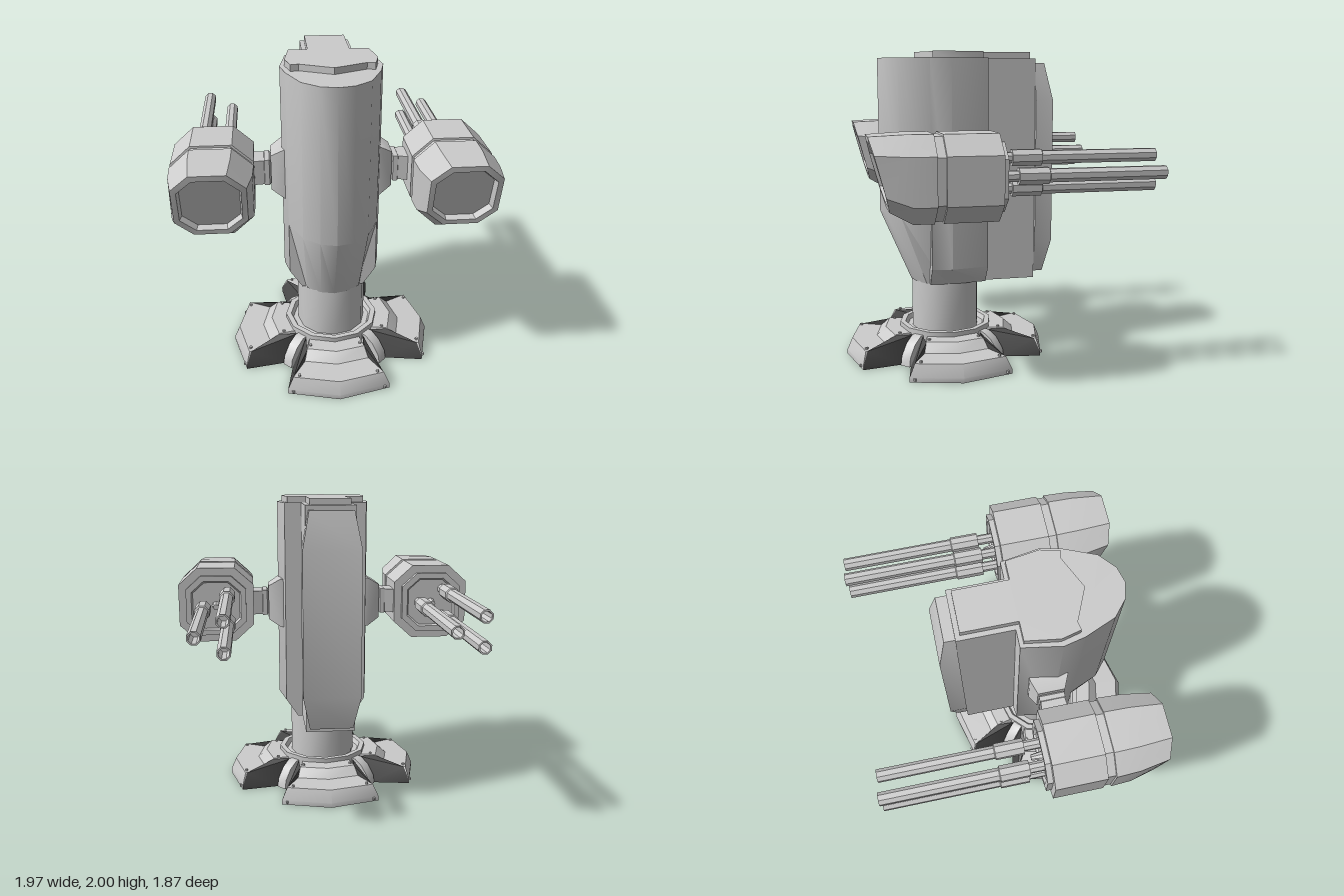
import * as THREE from 'three';
import { toCreasedNormals } from 'three/addons/utils/BufferGeometryUtils.js';
import { ConvexGeometry } from 'three/addons/geometries/ConvexGeometry.js';

const grey = new THREE.MeshStandardMaterial({ color: 0xcccccc });
const dark = new THREE.MeshStandardMaterial({ color: 0x4a4a4a });
const CZ = 0.26; // z of the column axis

function add(parent, name, geometry, material = grey) {
  const mesh = new THREE.Mesh(toCreasedNormals(geometry, 0.6), material);
  mesh.name = name;
  parent.add(mesh);
  return mesh;
}

// Solid skin over loops of [x, y, z] points, capped at both ends
function loft(loops) {
  const n = loops[0].length, tris = [];
  const mid = (l) => [0, 1, 2].map((k) => l.reduce((s, p) => s + p[k], 0) / n);
  const first = loops[0], last = loops[loops.length - 1], c0 = mid(first), c1 = mid(last);
  for (let i = 0; i < n; i++) {
    const j = (i + 1) % n;
    for (let k = 0; k + 1 < loops.length; k++) {
      const a = loops[k], b = loops[k + 1];
      tris.push([a[i], a[j], b[j]], [a[i], b[j], b[i]]);
    }
    tris.push([c0, first[j], first[i]], [c1, last[i], last[j]]);
  }
  // A negative volume means the skin is inside out
  const vol = tris.reduce((s, [a, b, c]) => s
    + a[0] * (b[1] * c[2] - b[2] * c[1])
    + a[1] * (b[2] * c[0] - b[0] * c[2])
    + a[2] * (b[0] * c[1] - b[1] * c[0]), 0);
  if (vol < 0) tris.forEach((t) => t.reverse());
  const g = new THREE.BufferGeometry();
  g.setAttribute('position', new THREE.Float32BufferAttribute(tris.flat(2), 3));
  return g;
}

// Mirrored horizontal section from half-outline points [x, z]
function section(y, half) {
  const other = half.filter((p) => p[0] > 0).reverse().map(([x, z]) => [-x, z]);
  return [...half, ...other].map(([x, z]) => [x, y, z]);
}

function polar(r, deg, y) {
  const a = THREE.MathUtils.degToRad(deg);
  return [r * Math.sin(a), y, r * Math.cos(a)];
}
const hull = (pts) => new ConvexGeometry(pts.map((p) => new THREE.Vector3(...p)));

function buildBase(root) {
  const base = new THREE.Group();
  base.name = 'base';
  base.position.z = CZ;
  root.add(base);

  const ring = [[0, 0], [0.31, 0], [0.31, 0.2], [0.275, 0.2], [0.26, 0.17], [0, 0.17]];
  add(base, 'baseRing', new THREE.LatheGeometry(ring.map((p) => new THREE.Vector2(...p)), 12));
  add(base, 'neck', new THREE.CylinderGeometry(0.225, 0.225, 0.4, 12)).position.y = 0.36;

  // Foot profile: radius, height, half angle
  const profile = [[0.67, 0, 29], [0.67, 0.03, 29], [0.635, 0.11, 27], [0.47, 0.115, 26],
    [0.41, 0.17, 27], [0.25, 0.17, 37], [0.25, 0, 37]];
  const footLoops = [-1, 0, 1].map((t) => profile.map(([r, y, a]) => polar(r, a * t, y)));

  for (let q = 0; q < 4; q++) {
    const foot = new THREE.Group();
    foot.name = 'foot';
    foot.rotation.y = q * Math.PI / 2;
    base.add(foot);
    add(foot, 'footPlate', loft(footLoops));
    for (const s of [-1, 1]) {
      // Dark sloping side of the foot, beside the notch
      add(foot, 'footCheek', hull([[0.67, 29, 0], [0.668, 29, 0.03], [0.63, 27, 0.107], [0.46, 26, 0.112],
        [0.41, 27, 0.165], [0.31, 38, 0.165], [0.43, 41, 0], [0.31, 41, 0]]
        .map(([r, a, y]) => polar(r, a * s, y))), dark);
      for (const [r, a, y] of [[0.61, 24, 0.115], [0.665, 26, 0.02], [0.37, 26, 0.172]]) {
        const bolt = add(foot, 'bolt', new THREE.CylinderGeometry(0.01, 0.01, 0.016, 6));
        bolt.position.set(...polar(r, a * s, y));
      }
    }
    // Rib at the inner end of the notch
    const rib = add(foot, 'notchRib', loft([-0.035, 0.035].map((x) =>
      [[x, 0, 0.28], [x, 0, 0.45], [x, 0.06, 0.44], [x, 0.13, 0.39], [x, 0.17, 0.33], [x, 0.17, 0.28]])));
    rib.rotation.y = Math.PI / 4;
  }
}

function buildBody(root) {
  const body = new THREE.Group();
  body.name = 'body';
  root.add(body);

  const front = [[0.28, 0.3], [0.28, 0.39], [0.2, 0.58], [0.1, 0.665], [0, 0.69]];
  const frontLow = [[0.2, 0.25], [0.2, 0.3], [0.17, 0.41], [0.085, 0.47], [0, 0.49]];
  add(body, 'frontColumn', loft([section(0.5, frontLow), section(0.97, front), section(1.96, front)]));

  const core = [[0.27, 0.02], [0.31, 0.26], [0.28, 0.39]];
  add(body, 'coreBlock', loft([section(0.5, [[0.19, 0.02], [0.22, 0.26], [0.2, 0.39]]),
    section(0.62, core), section(1.96, core)]));

  add(body, 'backBlock', new THREE.BoxGeometry(0.32, 1.46, 0.38)).position.set(0, 1.23, -0.13);

  add(body, 'backPanel', loft([[0.54, 0.14, -0.385], [0.76, 0.185, -0.435], [1.69, 0.185, -0.435], [1.93, 0.14, -0.385]]
    .map(([y, x, z]) => section(y, [[x, z], [x, -0.32]]))));

  // Roof plate
  const half = [[0.13, -0.29], [0.13, 0.045], [0.25, 0.045], [0.28, 0.25], [0.25, 0.37], [0.2, 0.36], [0, 0.45]];
  const shape = new THREE.Shape(section(0, half).map(([x, , z]) => new THREE.Vector2(x, -z)));
  const cap = add(body, 'roofPlate', new THREE.ExtrudeGeometry(shape, { depth: 0.05, bevelEnabled: false }));
  cap.rotation.x = -Math.PI / 2;
  cap.position.y = 1.95;

  // Arm mounts on both sides
  for (const s of [-1, 1]) {
    const plate = (x, hy, hz) => [[-1, -1], [1, -1], [1, 1], [-1, 1]]
      .map(([a, b]) => [s * x, 1.285 + a * hy, 0.205 + b * hz]);
    add(body, 'armMount', loft([plate(0.25, 0.165, 0.12), plate(0.3, 0.165, 0.12), plate(0.38, 0.115, 0.085)]));
    add(body, 'armCollar', loft([plate(0.37, 0.065, 0.06), plate(0.39, 0.085, 0.08),
      plate(0.42, 0.085, 0.08), plate(0.43, 0.065, 0.06)]));
    add(body, 'armAxle', loft([plate(0.42, 0.08, 0.075), plate(0.5, 0.08, 0.085)]));
  }
}

// Octagon across z; lean moves the lower points back
function octagon(z, hx, top, bottom, lean = 0) {
  const cy = (top + bottom) / 2, hy = (top - bottom) / 2, u = 0.5, v = 0.55;
  return [[u, 1], [1, v], [1, -v], [u, -1], [-u, -1], [-1, -v], [-1, v], [-u, 1]]
    .map(([a, b]) => [a * hx, cy + b * hy, z + (b - 1) * lean]);
}

function buildPod(root, x) {
  const pod = new THREE.Group();
  pod.name = 'gunPod';
  pod.position.set(x, 1.28, 0);
  root.add(pod);

  // Housing with a seam and a sunken slanted front
  add(pod, 'housing', loft([
    octagon(0.09, 0.25, 0.25, -0.25), octagon(0.41, 0.25, 0.25, -0.25),
    octagon(0.411, 0.238, 0.238, -0.238), octagon(0.46, 0.238, 0.238, -0.238),
    octagon(0.461, 0.25, 0.25, -0.25), octagon(0.62, 0.243, 0.25, -0.25, 0.02),
    octagon(0.82, 0.212, 0.24, -0.18, 0.055), octagon(0.815, 0.18, 0.205, -0.15, 0.05),
    octagon(0.765, 0.17, 0.195, -0.14, 0.05)]));
  add(pod, 'backPlate', loft([octagon(0.1, 0.2, 0.2, -0.2), octagon(0.055, 0.2, 0.2, -0.2),
    octagon(0.055, 0.165, 0.165, -0.165), octagon(0.07, 0.155, 0.155, -0.155)]));
  const nub = add(pod, 'centreNub', new THREE.CylinderGeometry(0.018, 0.03, 0.08, 8));
  nub.rotation.x = -Math.PI / 2;
  nub.position.z = 0.04;

  // Three hollow barrels; profile is radius and distance forward of the plate
  const profile = [[0.034, 0], [0.034, 0.11], [0.052, 0.11], [0.052, 0.29], [0.042, 0.295],
    [0.042, 1.02], [0.032, 1.02], [0.032, 0.85], [0, 0.85]].map((p) => new THREE.Vector2(...p));
  for (const [bx, by] of [[0.08, 0], [-0.08, 0.09], [-0.08, -0.09]]) {
    const barrel = add(pod, 'barrel', new THREE.LatheGeometry(profile, 8, Math.PI / 8));
    barrel.rotation.x = -Math.PI / 2;
    barrel.position.set(bx, by, 0.08);
  }
}

export function createModel() {
  const root = new THREE.Group();
  root.name = 'turret';
  buildBase(root);
  buildBody(root);
  for (const s of [-1, 1]) buildPod(root, s * 0.733);
  return root;
}
